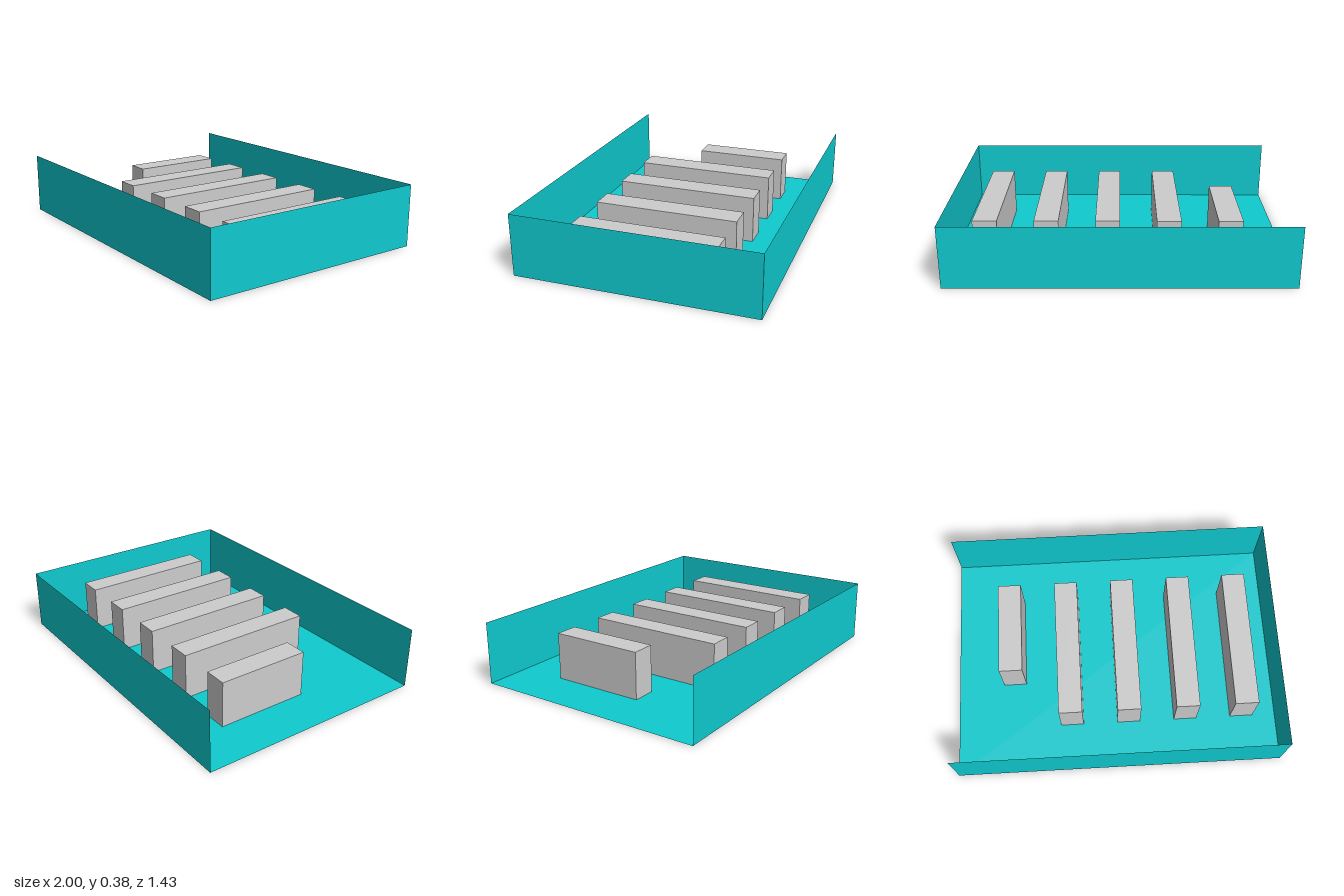
import * as THREE from 'three';

export function createModel() {
  const model = new THREE.Group();
  const turquoise = new THREE.MeshStandardMaterial({ color: 0x0fcacf, side: THREE.DoubleSide });
  turquoise.name = 'turquoise';
  const lightGrey = new THREE.MeshStandardMaterial({ color: 0xcdcdcd });
  lightGrey.name = 'lightGrey';

  const unit = 1 / 7; // layout module: the tray is 14 x 10 modules
  const width = 14 * unit, depth = 10 * unit, height = 0.375;

  // Thin sheet panels of the tray
  function panel(name, w, h, position, rotation) {
    const mesh = new THREE.Mesh(new THREE.PlaneGeometry(w, h), turquoise);
    mesh.name = name;
    mesh.position.set(...position);
    mesh.rotation.set(...rotation);
    model.add(mesh);
  }
  panel('floor', width, depth, [0, 0, 0], [-Math.PI / 2, 0, 0]);
  panel('frontWall', width, height, [0, height / 2, depth / 2], [0, 0, 0]);
  panel('backWall', width, height, [0, height / 2, -depth / 2], [0, Math.PI, 0]);
  // The right end (-x) stays open
  panel('leftWall', depth, height, [width / 2, height / 2, 0], [0, Math.PI / 2, 0]);

  // Row of blocks on the floor; the first one, by the open end, is shorter
  const lift = 0.002; // keeps undersides clear of the floor sheet
  const blockHeight = 2 * unit - lift;
  [-4.5, -2, 0.5, 3, 5.5].forEach((x, i) => {
    const length = i === 0 ? 4 : 6;
    const block = new THREE.Mesh(
      new THREE.BoxGeometry(unit, blockHeight, length * unit), lightGrey);
    block.name = i === 0 ? 'shortBlock' : `longBlock${i}`;
    block.position.set(x * unit, lift + blockHeight / 2, (-3 + length / 2) * unit);
    model.add(block);
  });

  return model;
}
